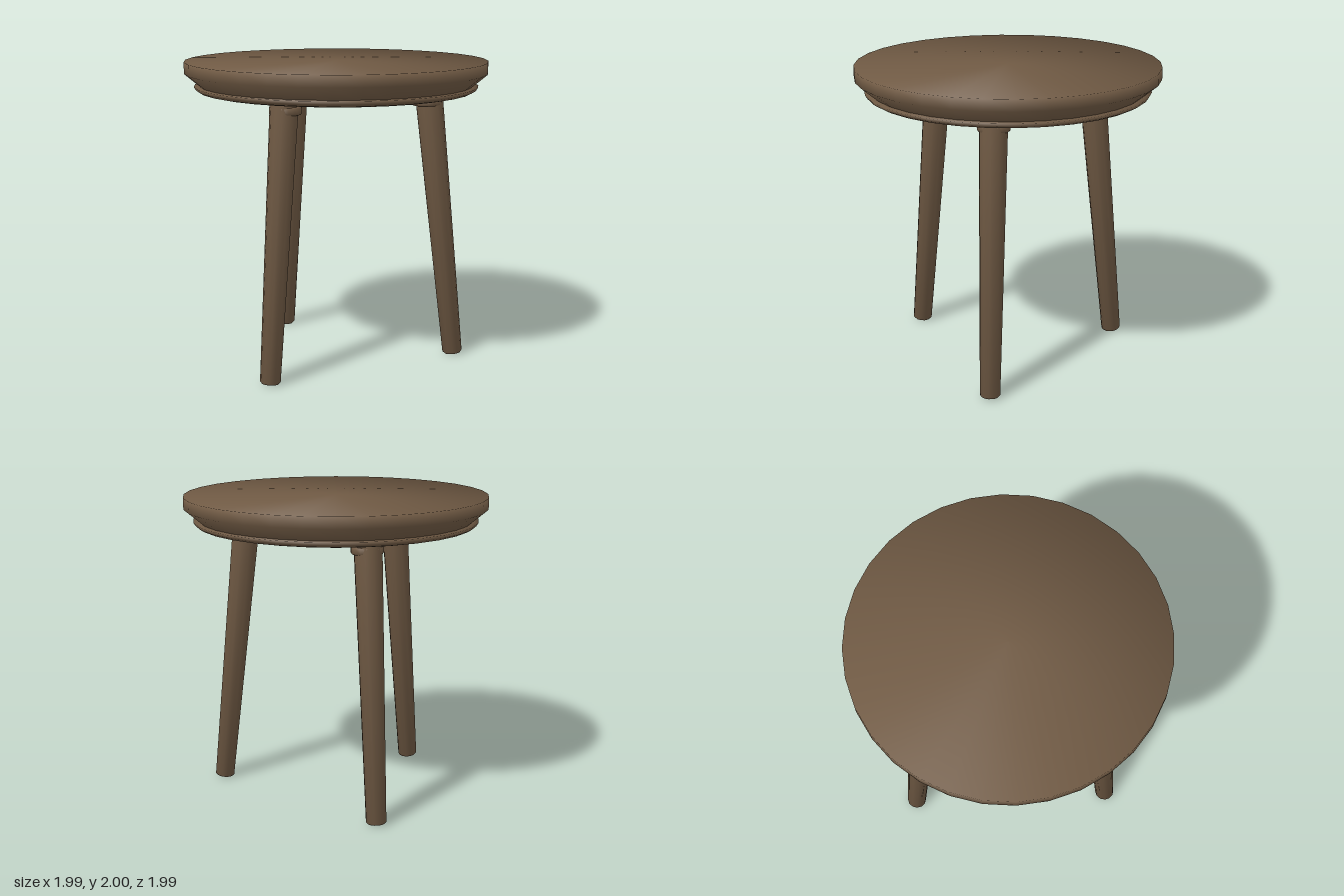
import * as THREE from 'three';

// Lathe whose normals blend evenly across each profile corner, giving a soft edge
function softLathe(profile, segments) {
  const points = profile.map(([r, y]) => new THREE.Vector2(r, y));
  const geometry = new THREE.LatheGeometry(points, segments);
  const faces = points.slice(1).map((p, i) => {
    const d = p.clone().sub(points[i]).normalize();
    return new THREE.Vector2(d.y, -d.x);
  });
  const blended = points.map((p, j) => {
    const before = faces[Math.max(j - 1, 0)];
    const after = faces[Math.min(j, faces.length - 1)];
    return before.clone().add(after).normalize();
  });
  for (let i = 0; i <= segments; i++) {
    const a = (i / segments) * Math.PI * 2;
    blended.forEach((n, j) => {
      geometry.attributes.normal.setXYZ(i * points.length + j, n.x * Math.sin(a), n.y, n.x * Math.cos(a));
    });
  }
  return geometry;
}

export function createModel() {
  const model = new THREE.Group();
  model.name = 'stool';
  const wood = new THREE.MeshStandardMaterial({ color: 0x705a44 });
  wood.name = 'brown wood';

  const add = (parent, geometry, name) => {
    const mesh = new THREE.Mesh(geometry, wood);
    mesh.name = name;
    parent.add(mesh);
    return mesh;
  };

  // Round seat with a bevelled lower edge
  add(model, softLathe([[0.89, 1.836], [0.997, 1.925], [0.997, 2], [0, 2]], 32), 'seat');

  // Recessed flat underside
  const underside = add(model, new THREE.CircleGeometry(0.9, 32), 'underside');
  underside.rotation.x = Math.PI / 2;
  underside.position.y = 1.838;

  // Lipped ring hanging around the underside
  add(model, softLathe([
    [0.845, 1.84], [0.848, 1.792], [0.895, 1.802], [0.92, 1.816], [0.935, 1.838], [0.885, 1.84],
  ], 32), 'seatRing');

  // Three splayed, tapered legs with rounded feet and upright collars
  const top = { x: 0.603, y: 1.86 };
  const foot = { x: 0.796, y: 0.007 };
  const length = Math.hypot(top.x - foot.x, top.y - foot.y);
  const legProfile = [[0, 0], [0.056, 0], [0.066, 0.012], [0.092, length]];
  const collarProfile = [
    [0.06, 1.706], [0.096, 1.707], [0.104, 1.716], [0.104, 1.75], [0.096, 1.759], [0.06, 1.76],
  ];
  for (let i = 0; i < 3; i++) {
    const assembly = new THREE.Group();
    assembly.name = 'legAssembly' + (i + 1);
    assembly.rotation.y = (i * Math.PI * 2) / 3;
    model.add(assembly);

    const leg = add(assembly, softLathe(legProfile, 12), 'leg');
    leg.position.set(foot.x, foot.y, 0);
    leg.rotation.z = Math.atan2(foot.x - top.x, top.y - foot.y);

    const collar = add(assembly, softLathe(collarProfile, 16), 'collar');
    collar.position.x = 0.599;
  }
  return model;
}
